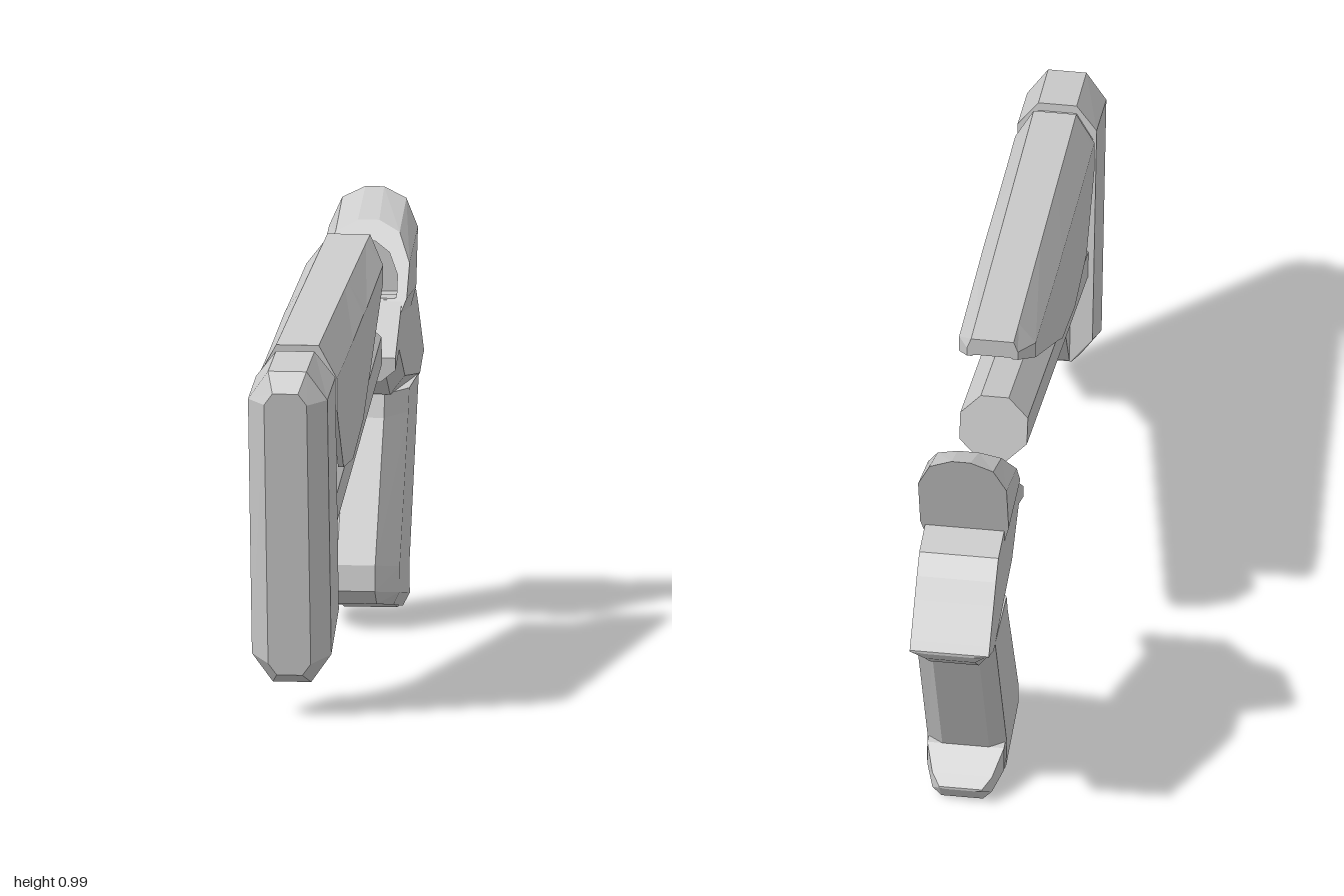
import * as THREE from 'three';

const material = new THREE.MeshStandardMaterial({ color: 0xcccccc, flatShading: true });

function addMesh(parent, name, geometry) {
  const mesh = new THREE.Mesh(geometry, material);
  mesh.name = name;
  parent.add(mesh);
}

// Skin a list of equal-length rings of [x, y, z] and cap both ends.
// flatAxes picks the two coordinates used to triangulate the caps.
function loft(rings, flatAxes = [0, 1]) {
  const n = rings[0].length;
  const tris = [];
  for (let r = 0; r < rings.length - 1; r++) {
    for (let i = 0; i < n; i++) {
      const j = (i + 1) % n;
      const [a, b, c, d] = [rings[r][i], rings[r][j], rings[r + 1][j], rings[r + 1][i]];
      tris.push([a, b, c], [a, c, d]);
    }
  }
  const cap = (ring, first) => {
    const flat = ring.map(p => new THREE.Vector2(p[flatAxes[0]], p[flatAxes[1]]));
    const ccw = !THREE.ShapeUtils.isClockWise(flat);
    for (const f of THREE.ShapeUtils.triangulateShape(flat, [])) {
      let [a, b, c] = f;
      const area = (flat[b].x - flat[a].x) * (flat[c].y - flat[a].y)
        - (flat[c].x - flat[a].x) * (flat[b].y - flat[a].y);
      // Follow the ring's own direction on the last cap, reverse on the first.
      if ((area > 0) !== (ccw !== first)) [b, c] = [c, b];
      tris.push([ring[a], ring[b], ring[c]]);
    }
  };
  cap(rings[0], true);
  cap(rings[rings.length - 1], false);

  // Turn the solid outward if its signed volume is negative.
  let volume = 0;
  for (const [a, b, c] of tris) {
    volume += new THREE.Vector3(...a).dot(new THREE.Vector3(...b).cross(new THREE.Vector3(...c)));
  }
  if (volume < 0) tris.forEach(t => t.reverse());
  const geometry = new THREE.BufferGeometry();
  geometry.setAttribute('position', new THREE.Float32BufferAttribute(tris.flat(2), 3));
  geometry.computeVertexNormals();
  return geometry;
}

// Mirror a right half profile (bottom to top) into a closed outline.
const mirror = half => [...half, ...half.map(([x, ...rest]) => [-x, ...rest]).reverse()];

// Extrude a side profile of [z, y] points across the width.
function sidePlate(points, width, hole) {
  const shape = new THREE.Shape(points.map(p => new THREE.Vector2(...p)));
  if (hole) shape.holes.push(hole);
  const geometry = new THREE.ExtrudeGeometry(shape, { depth: width, bevelEnabled: false });
  return geometry.translate(0, 0, -width / 2).rotateY(-Math.PI / 2);
}

function buildStock() {
  const stock = new THREE.Group();
  stock.name = 'stock';

  // Butt pad: leaning block with chamfered corners and rear face
  const padRing = (w, flat, corner, top, bottom) => {
    const at = t => [THREE.MathUtils.lerp(bottom[1], top[1], t), THREE.MathUtils.lerp(bottom[0], top[0], t)];
    return mirror([[flat, ...at(0)], [w, ...at(corner)], [w, ...at(1 - corner)], [flat, ...at(1)]]);
  };
  addMesh(stock, 'buttPad', loft([
    padRing(0.05, 0.03, 0.04, [1.0, 0.775], [0.91, 0.1]),
    padRing(0.093, 0.045, 0.09, [0.957, 0.822], [0.86, 0.077]),
    padRing(0.093, 0.045, 0.09, [0.795, 0.845], [0.71, 0.166]),
  ]));

  // Neck joining pad and cheek rest, with a slot
  const slot = new THREE.Path([[0.755, 0.7], [0.735, 0.695], [0.718, 0.66], [0.716, 0.585],
    [0.745, 0.575], [0.763, 0.65]].map(p => new THREE.Vector2(...p)));
  addMesh(stock, 'neckWeb', sidePlate([[0.81, 0.8], [0.7, 0.8], [0.6, 0.58], [0.64, 0.5],
    [0.7, 0.42], [0.76, 0.42]], 0.09, slot));
  addMesh(stock, 'neckTop', loft([0.8, 0.74].map(z => mirror(
    [[0.085, 0.71], [0.085, 0.76], [0.045, 0.825]]).map(([x, y]) => [x, y, z]))));

  // Cheek rest: hollow shell, stations of z, top, shoulder, bottom, half width
  const cheek = [
    [0.752, 0.853, 0.775, 0.7, 0.093], [0.72, 0.856, 0.78, 0.66, 0.093],
    [0.62, 0.866, 0.79, 0.547, 0.093], [0.43, 0.886, 0.815, 0.538, 0.093],
    [0.22, 0.907, 0.845, 0.6, 0.093], [0.16, 0.913, 0.85, 0.64, 0.093],
    [-0.2, 0.949, 0.898, 0.856, 0.09], [-0.285, 0.957, 0.93, 0.908, 0.06],
  ];
  addMesh(stock, 'cheekRest', loft(cheek.map(([z, top, shoulder, bottom, w]) => {
    const tip = z < -0.25;
    const roof = tip ? bottom + 0.004 : Math.max(bottom + 0.01, top - 0.03);
    const side = tip ? bottom + 0.002 : Math.max(bottom + 0.005, shoulder - 0.02);
    const half = [[w, bottom], [w, shoulder], [0.05, top]];
    const inner = [[w - 0.013, bottom], [w - 0.013, side], [0.04, roof]];
    const flip = list => list.map(([x, y]) => [-x, y]);
    return [...half, ...flip(half).reverse(), ...flip(inner), ...inner.reverse()]
      .map(([x, y]) => [x, y, z]);
  })));

  // Eight-sided tube under the cheek rest
  const start = new THREE.Vector3(0, 0.42, 0.77);
  const end = new THREE.Vector3(0, 0.688, -0.265);
  const axis = end.clone().sub(start);
  const tube = new THREE.CylinderGeometry(0.086, 0.086, axis.length(), 8);
  tube.rotateY(Math.PI / 8);
  tube.rotateX(-Math.atan2(-axis.z, axis.y));
  tube.translate(0, (start.y + end.y) / 2, (start.z + end.z) / 2);
  addMesh(stock, 'tube', tube);

  // Lower bracket with a round hole
  const eye = new THREE.Path();
  eye.absarc(0.69, 0.312, 0.025, 0, Math.PI * 2, true);
  addMesh(stock, 'lowerBracket', sidePlate([[0.75, 0.42], [0.735, 0.2], [0.71, 0.168],
    [0.635, 0.31], [0.51, 0.395], [0.52, 0.43]], 0.08, eye));
  return stock;
}

function buildGrip() {
  const grip = new THREE.Group();
  grip.name = 'grip';

  // Handle: chamfered sections between front and back [z, y] points
  const handle = [
    [[-0.46, 0.06], [-0.75, 0.012], 0.075], [[-0.42, 0.095], [-0.74, 0.045], 0.093],
    [[-0.428, 0.155], [-0.727, 0.11], 0.093], [[-0.604, 0.476], [-0.895, 0.49], 0.093],
    [[-0.62, 0.53], [-0.92, 0.54], 0.093],
  ];
  addMesh(grip, 'handle', loft(handle.map(([front, back, w]) => mirror(
    [[0.045, 0], [w, 0.28], [w, 0.92], [0.055, 1]]).map(([x, t]) => [
    x, THREE.MathUtils.lerp(front[1], back[1], t), THREE.MathUtils.lerp(front[0], back[0], t),
  ])), [0, 2]));

  // Heel at the bottom rear of the handle
  addMesh(grip, 'heel', loft([[-0.64, 0.09, 0.12, 0.035], [-0.727, 0.09, 0.11, 0.012],
    [-0.786, 0.07, 0.067, 0.003], [-0.813, 0.05, 0.048, 0.042]].map(([z, w, top, bottom]) => mirror(
    [[w * 0.7, bottom], [w, bottom + (top - bottom) * 0.35], [w, top]]).map(([x, y]) => [x, y, z]))));

  // Middle body: front lip to rear tang, stations of z, top, bottom
  const body = [[-0.422, 0.645, 0.588], [-0.5, 0.713, 0.608], [-0.558, 0.765, 0.57],
    [-0.615, 0.765, 0.53], [-0.84, 0.745, 0.5], [-0.882, 0.706, 0.495],
    [-0.92, 0.664, 0.49], [-0.984, 0.595, 0.545], [-1.0, 0.577, 0.57]];
  addMesh(grip, 'middleBody', loft(body.map(([z, top, bottom]) => mirror(
    [[0.058, bottom], [0.093, Math.min(bottom + 0.045, (top + bottom) / 2)], [0.093, top]])
    .map(([x, y]) => [x, y, z]))));

  // Upper housing: sloped dome with an arched recess in its front
  const slopeZ = y => -0.556 - (y - 0.765) * 0.776;
  const backZ = y => -0.807 - (y - 0.99) * 0.265;
  const inner = mirror([[0.07, 0.762], [0.08, 0.768], [0.078, 0.815], [0.055, 0.862], [0.02, 0.885]]);
  const outer = mirror([[0.093, 0.735], [0.104, 0.765], [0.104, 0.84], [0.075, 0.905], [0.025, 0.93]]);
  const rear = mirror([[0.093, 0.72], [0.104, 0.765], [0.104, 0.9], [0.075, 0.965], [0.022, 0.99]]);
  addMesh(grip, 'upperHousing', loft([
    inner.map(([x, y]) => [x, y, -0.69]),
    inner.map(([x, y]) => [x, y, slopeZ(y)]),
    outer.map(([x, y]) => [x, y, slopeZ(y)]),
    rear.map(([x, y]) => [x, y, backZ(y)]),
  ]));
  return grip;
}

export function createModel() {
  const model = new THREE.Group();
  model.name = 'stockAndGrip';
  model.add(buildStock(), buildGrip());
  return model;
}
